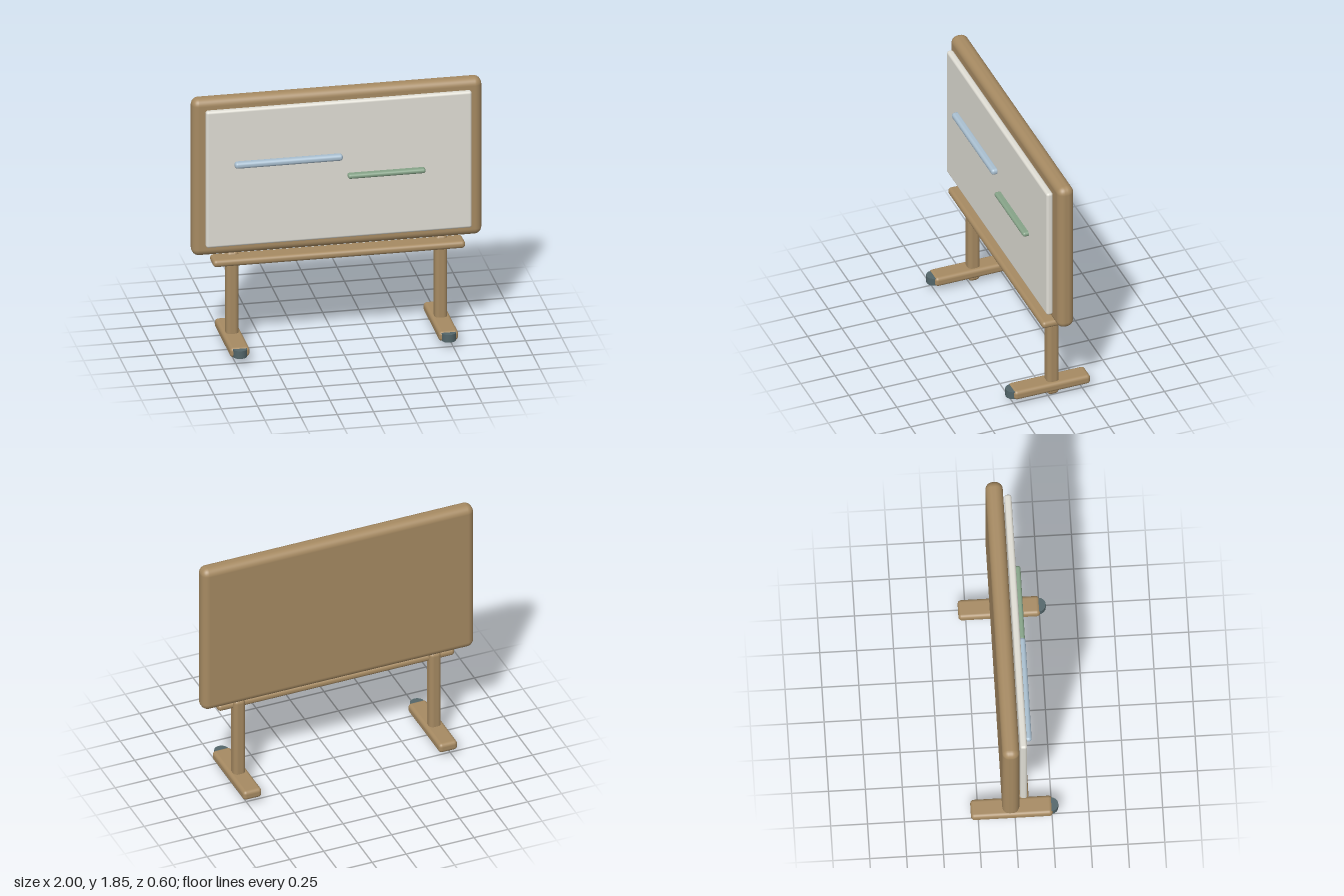
import * as THREE from 'three';
import { RoundedBoxGeometry } from 'three/addons/geometries/RoundedBoxGeometry.js';

function material(name, color) {
  const m = new THREE.MeshStandardMaterial({ color });
  m.name = name;
  return m;
}

export function createModel() {
  const wood = material('wood', 0xa68a62);
  const white = material('boardWhite', 0xdfddd4);
  const blue = material('paleBlue', 0xa9bfd0);
  const green = material('sageGreen', 0x86a388);
  const dark = material('darkSlate', 0x53666a);

  const model = new THREE.Group();
  model.name = 'whiteboardStand';

  // Rounded box given by its extents on each axis
  function block(name, mat, [x0, x1], [y0, y1], [z0, z1], radius) {
    const geo = new RoundedBoxGeometry(x1 - x0, y1 - y0, z1 - z0, 4, radius);
    const mesh = new THREE.Mesh(geo, mat);
    mesh.name = name;
    mesh.position.set((x0 + x1) / 2, (y0 + y1) / 2, (z0 + z1) / 2);
    model.add(mesh);
  }

  // Board: backing frame, writing panel and the two raised strips
  block('frame', wood, [-1, 1], [0.7, 1.85], [-0.1, 0.017], 0.05);
  block('panel', white, [-0.917, 0.917], [0.783, 1.785], [0.025, 0.073], 0.018);
  block('blueStrip', blue, [-0.725, 0.02], [1.365, 1.41], [0.06, 0.115], 0.02);
  block('greenStrip', green, [0.055, 0.59], [1.227, 1.261], [0.06, 0.115], 0.016);

  // Tray under the board
  block('tray', wood, [-0.87, 0.87], [0.64, 0.692], [-0.057, 0.085], 0.024);

  // Legs: post, foot and round front bumper on each side
  for (const [side, x] of [['left', 0.72], ['right', -0.72]]) {
    block(side + 'Post', wood, [x - 0.043, x + 0.043], [0, 0.715], [-0.083, 0.003], 0.03);
    block(side + 'Foot', wood, [x - 0.068, x + 0.068], [0.042, 0.112], [-0.3, 0.255], 0.025);
    const bumper = new THREE.Mesh(new THREE.CylinderGeometry(0.05, 0.05, 0.056, 16), dark);
    bumper.name = side + 'Bumper';
    bumper.position.set(x, 0.077, 0.245);
    model.add(bumper);
  }
  return model;
}
